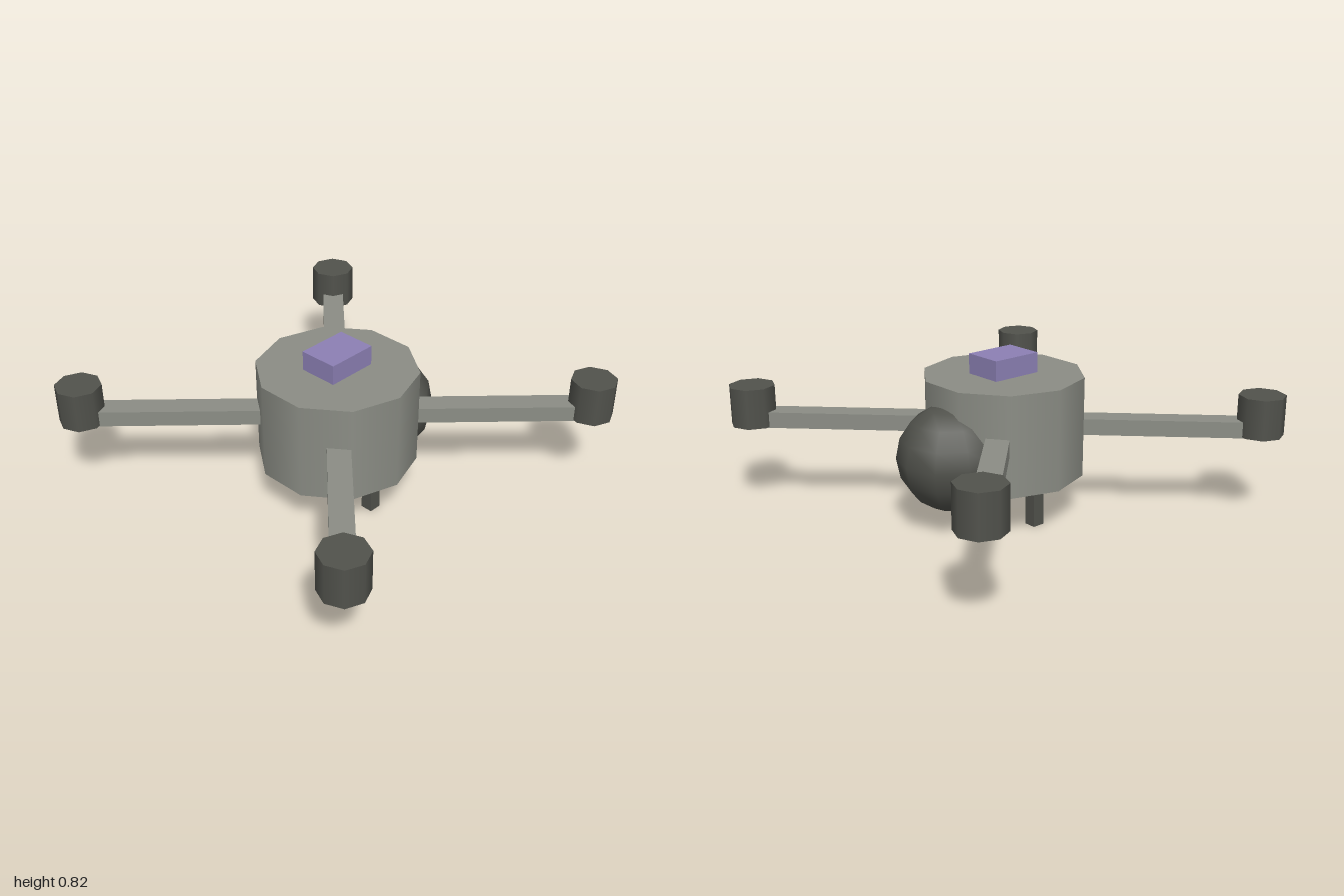
import * as THREE from 'three';

export function createModel() {
  const model = new THREE.Group();
  model.name = 'drone';

  const mat = (name, color) => {
    const m = new THREE.MeshStandardMaterial({ color });
    m.name = name;
    return m;
  };
  const grey = mat('hull grey', 0x8b8d85);
  const dark = mat('dark grey', 0x51524c);
  const purple = mat('muted purple', 0x8c80b4);

  const add = (name, geometry, material, x, y, z, parent = model) => {
    const mesh = new THREE.Mesh(geometry, material);
    mesh.name = name;
    mesh.position.set(x, y, z);
    parent.add(mesh);
    return mesh;
  };

  // Ten-sided hull with a small box on the roof
  add('body', new THREE.CylinderGeometry(0.4, 0.4, 0.5, 10), grey, 0, 0.47, 0);
  add('topBox', new THREE.BoxGeometry(0.264, 0.1, 0.2), purple, 0, 0.77, 0);

  // Camera ball sunk into the left side
  add('cameraBall', new THREE.SphereGeometry(0.26, 10, 8), dark, 0.335, 0.365, 0);

  // Four diagonal arms, each with a motor pod near its tip
  const armStart = 0.2, armEnd = 1.28;
  const armGeo = new THREE.BoxGeometry(armEnd - armStart, 0.08, 0.113);
  const podGeo = new THREE.CylinderGeometry(0.115, 0.115, 0.2, 8);
  const armMid = (armStart + armEnd) / 2 * Math.SQRT1_2;
  for (const sx of [-1, 1]) {
    for (const sz of [-1, 1]) {
      const side = (sz > 0 ? 'front' : 'back') + (sx > 0 ? 'Left' : 'Right');
      const arm = add(side + 'Arm', armGeo, grey, sx * armMid, 0.469, sz * armMid);
      arm.rotation.y = -sx * sz * Math.PI / 4;
      add(side + 'Motor', podGeo, dark, sx * 0.885, 0.535, sz * 0.885);
    }
  }

  // Two short legs under the hull
  for (const sz of [-1, 1]) {
    add(sz > 0 ? 'frontLeg' : 'backLeg', new THREE.BoxGeometry(0.063, 0.24, 0.063), dark, 0, 0.12, sz * 0.232);
  }

  return model;
}
